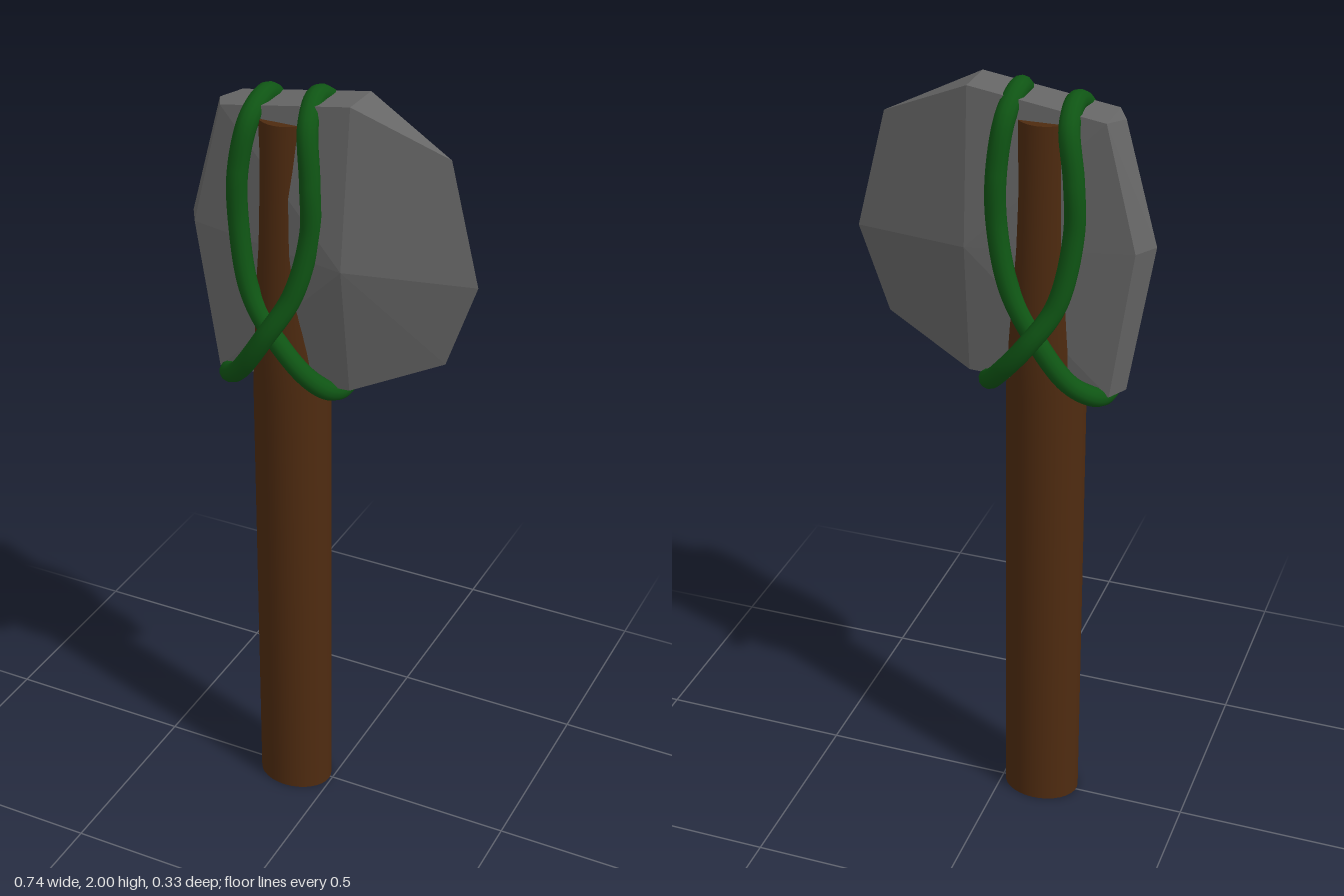
import * as THREE from 'three';
import { ConvexGeometry } from 'three/addons/geometries/ConvexGeometry.js';

const V = (x, y, z) => new THREE.Vector3(x, y, z);

function part(name, geometry, color, flatShading = false) {
  const mesh = new THREE.Mesh(geometry, new THREE.MeshStandardMaterial({ color, flatShading }));
  mesh.name = name;
  return mesh;
}

// Round shaft that swells in depth where it grips the stone.
function handleGeometry() {
  // height, half width, half depth, depth offset (top to bottom)
  const rows = [
    [1.92, 0.075, 0.083, 0], [1.75, 0.075, 0.092, 0], [1.6, 0.078, 0.1, 0],
    [1.45, 0.085, 0.107, 0], [1.35, 0.094, 0.1, 0], [1.22, 0.1, 0.078, 0.007], [0, 0.1, 0.078, 0.007],
  ];
  const geo = new THREE.CylinderGeometry(1, 1, 1, 32, rows.length - 1);
  const p = geo.attributes.position;
  for (let i = 0; i < p.count; i++) {
    const row = Math.round((0.5 - p.getY(i)) * (rows.length - 1));
    const [y, rx, rz, dz] = rows[row];
    p.setXYZ(i, -0.107 + p.getX(i) * rx, y, dz + p.getZ(i) * rz);
  }
  return geo;
}

// Faceted stone: blunt back, thick middle, sharp blade.
function headGeometry() {
  const points = [
    V(-0.29, 1.93, 0), V(-0.372, 1.63, 0), V(-0.31, 1.25, 0),
    V(0.295, 1.88, 0), V(0.37, 1.58, 0), V(0.295, 1.365, 0),
  ];
  for (const s of [1, -1]) {
    points.push(
      V(-0.26, 1.935, s * 0.055), V(-0.337, 1.63, s * 0.057), V(-0.282, 1.25, s * 0.052),
      V(0.07, 1.985, s * 0.055), V(0.07, 1.6, s > 0 ? 0.103 : -0.083), V(0.07, 1.265, s * 0.052),
    );
  }
  return new ConvexGeometry(points);
}

// Closed lashing over the top, crossing on both faces, under the stone.
// Each side is a list of [x, y]; the depths say how far out each side runs.
function lashingGeometry(top, side, bottom, frontDepths, backDepths) {
  const front = side.map(([x, y], i) => V(x, y, frontDepths[i]));
  const back = side.map(([x, y], i) => V(x, y, -backDepths[i])).reverse();
  const curve = new THREE.CatmullRomCurve3(
    [V(...top, 0), ...front, V(...bottom, 0), ...back], true);
  return new THREE.TubeGeometry(curve, 160, 0.025, 12, true);
}

export function createModel() {
  const group = new THREE.Group();
  group.name = 'stoneAxe';
  group.add(part('handle', handleGeometry(), 0x4f2b10));
  group.add(part('stoneHead', headGeometry(), 0x666666, true));

  const over = [0.068, 0.091, 0.092, 0.115, 0.14, 0.115, 0.065];
  const under = [0.068, 0.091, 0.09, 0.1, 0.108, 0.092, 0.055];

  // Lashing that ends on the blade side, outermost at the back
  const bladeSide = [[-0.178, 1.92], [-0.198, 1.8], [-0.2, 1.67], [-0.168, 1.5],
    [-0.105, 1.4], [-0.025, 1.3], [0.015, 1.255]];
  group.add(part('bladeSideLashing',
    lashingGeometry([-0.172, 1.957], bladeSide, [0.03, 1.24], under, over), 0x0f5514));

  // Lashing that ends on the blunt side, outermost at the front
  const bluntSide = [[-0.028, 1.93], [-0.013, 1.8], [-0.014, 1.67], [-0.048, 1.52],
    [-0.11, 1.41], [-0.195, 1.29], [-0.25, 1.248]];
  group.add(part('bluntSideLashing',
    lashingGeometry([-0.038, 1.975], bluntSide, [-0.265, 1.238], over, under), 0x0f5514));

  return group;
}
